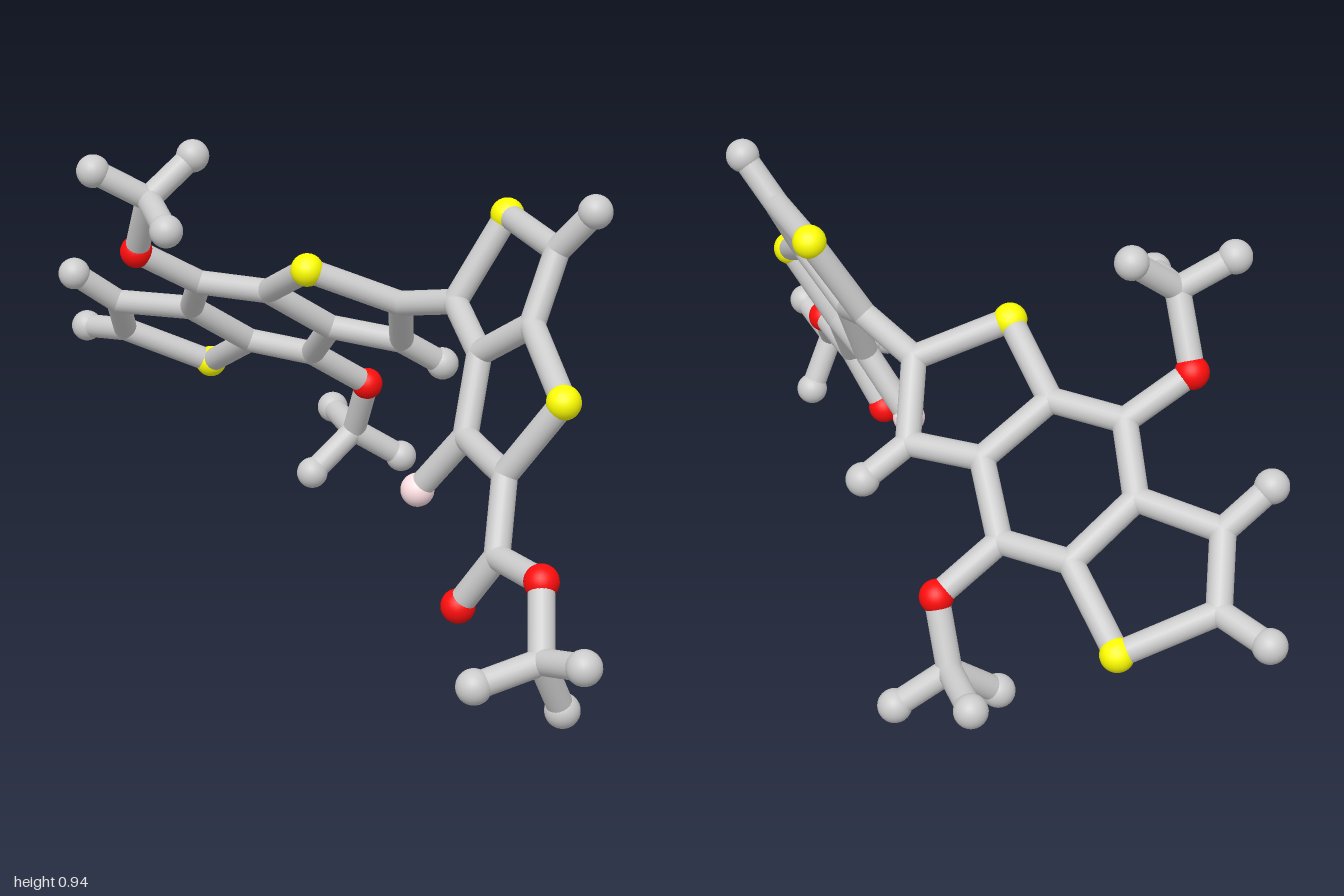
import * as THREE from 'three';

const BALL = 0.036, ROD = 0.027;
const mat = (color) => new THREE.MeshStandardMaterial({ color });
const MATERIALS = {
  grey: mat(0xcccccc), yellow: mat(0xffff00), red: mat(0xff0d0d), pink: mat(0xffe0e4),
};
const ballGeometry = new THREE.SphereGeometry(BALL, 24, 16);
const jointGeometry = new THREE.SphereGeometry(ROD, 20, 14);
const rodGeometry = new THREE.CylinderGeometry(ROD, ROD, 1, 20, 1, true);

// Each cluster: plain joints, balls by colour, and chains of rods joining them
const CLUSTERS = {
  fusedRings: {
    joints: {
      a: [-0.025, 0.605, -0.11], b: [-0.13, 0.475, -0.19], c: [-0.275, 0.485, -0.10],
      d: [-0.30, 0.59, 0.05], e: [-0.445, 0.588, 0.135], f: [-0.57, 0.485, 0.08],
      g: [-0.56, 0.38, -0.07], h: [-0.415, 0.375, -0.145],
      i: [-0.74, 0.472, 0.172], j: [-0.84, 0.362, 0.095],
    },
    yellow: { s1: [-0.12, 0.688, 0.067], s2: [-0.75, 0.272, -0.083] },
    grey: { t1: [-0.11, 0.408, -0.288], t2: [-0.76, 0.552, 0.273], t3: [-0.965, 0.343, 0.127] },
    chains: ['a b c d s1 a', 'd e f g h c', 'f i j s2 g', 'b t1', 'i t2', 'j t3'],
  },
  upperBranch: {
    joints: { e: [-0.445, 0.588, 0.135], k: [-0.39, 0.82, 0.295] },
    red: { o: [-0.48, 0.675, 0.274] },
    grey: { t1: [-0.44, 0.887, 0.40], t2: [-0.375, 0.902, 0.19], t3: [-0.25, 0.789, 0.337] },
    chains: ['e o k t1', 'k t2', 'k t3'],
  },
  lowerBranch: {
    joints: { h: [-0.415, 0.375, -0.145], k: [-0.463, 0.14, -0.295] },
    red: { o: [-0.395, 0.278, -0.284] },
    grey: { t1: [-0.61, 0.145, -0.336], t2: [-0.475, 0.054, -0.184], t3: [-0.42, 0.065, -0.40] },
    chains: ['h o k t1', 'k t2', 'k t3'],
  },
  tiltedRings: {
    joints: {
      start: [-0.025, 0.605, -0.11], a: [0.13, 0.645, -0.14], b: [0.39, 0.813, -0.203],
      c: [0.41, 0.673, -0.125], d: [0.275, 0.58, -0.095],
      e: [0.322, 0.425, -0.025], f: [0.503, 0.407, 0.012],
    },
    yellow: { s1: [0.17, 0.828, -0.245], s2: [0.595, 0.573, -0.062] },
    grey: { t1: [0.463, 0.905, -0.241] },
    pink: { p: [0.227, 0.288, 0.027] },
    chains: ['start a s1 b c d a', 'c s2 f e d', 'b t1', 'e p'],
  },
  endBranch: {
    joints: { f: [0.503, 0.407, 0.012], g: [0.575, 0.27, 0.085], k: [0.835, 0.163, 0.175] },
    red: { o1: [0.50, 0.146, 0.124], o2: [0.742, 0.28, 0.104] },
    grey: { t1: [0.965, 0.20, 0.176], t2: [0.795, 0.131, 0.308], t3: [0.825, 0.038, 0.112] },
    chains: ['f g o2 k t1', 'g o1', 'k t2', 'k t3'],
  },
};

function addMesh(parent, name, geometry, material, position) {
  const mesh = new THREE.Mesh(geometry, material);
  mesh.name = name;
  mesh.position.copy(position);
  parent.add(mesh);
  return mesh;
}

// Cylinder stretched between two points
function addRod(parent, from, to) {
  const along = to.clone().sub(from);
  const middle = from.clone().add(to).multiplyScalar(0.5);
  const rod = addMesh(parent, 'rod', rodGeometry, MATERIALS.grey, middle);
  rod.scale.y = along.length();
  rod.quaternion.setFromUnitVectors(new THREE.Vector3(0, 1, 0), along.normalize());
}

function buildCluster(name, { joints, chains, ...balls }) {
  const group = new THREE.Group();
  group.name = name;
  const points = {};

  // Rounded joints where rods meet
  for (const [key, p] of Object.entries(joints)) {
    points[key] = new THREE.Vector3(...p);
    addMesh(group, 'joint', jointGeometry, MATERIALS.grey, points[key]);
  }

  // Larger coloured balls and grey end balls
  for (const [color, set] of Object.entries(balls)) {
    for (const [key, p] of Object.entries(set)) {
      points[key] = new THREE.Vector3(...p);
      addMesh(group, color + 'Ball', ballGeometry, MATERIALS[color], points[key]);
    }
  }

  // Rods along each chain
  for (const chain of chains) {
    const keys = chain.split(' ');
    for (let i = 1; i < keys.length; i++) addRod(group, points[keys[i - 1]], points[keys[i]]);
  }
  return group;
}

export function createModel() {
  const model = new THREE.Group();
  model.name = 'ballAndStickModel';
  for (const [name, cluster] of Object.entries(CLUSTERS)) model.add(buildCluster(name, cluster));
  return model;
}
